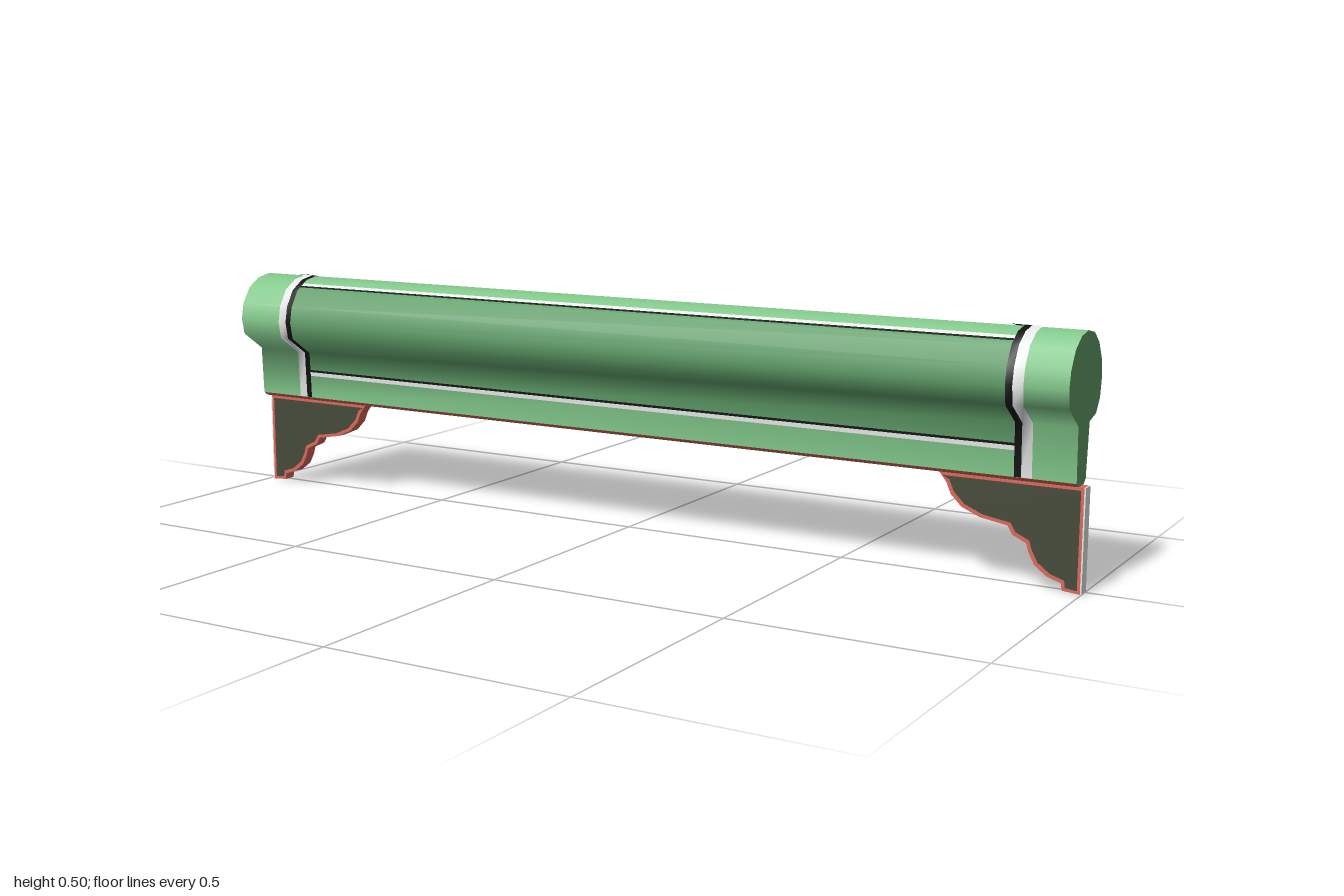
import * as THREE from 'three';
import { toCreasedNormals } from 'three/addons/utils/BufferGeometryUtils.js';

const mat = (name, color, side = THREE.FrontSide) => {
  const m = new THREE.MeshStandardMaterial({ color, side });
  m.name = name;
  return m;
};
const light = mat('lightGreen', 0x82c88b);
const green = mat('midGreen', 0x5f9d68);
const white = mat('offWhite', 0xe8ebe9, THREE.DoubleSide);
const black = mat('black', 0x121212, THREE.DoubleSide);
const red = mat('coralRed', 0xd8685a);
const olive = mat('darkOlive', 0x444a39);

// Cross-section as [z, y], each half from the bottom to the crown
const front = [[0.02, 0.204], [0.031, 0.212], [0.035, 0.32], [0.092, 0.36], [0.099, 0.396],
  [0.092, 0.432], [0.07, 0.467], [0.037, 0.488], [0, 0.495]];
const back = [[-0.012, 0.204], [-0.023, 0.213], [-0.032, 0.32], [-0.07, 0.33], [-0.09, 0.357],
  [-0.097, 0.396], [-0.09, 0.432], [-0.07, 0.465], [-0.04, 0.487], [0, 0.495]];

// Surface swept along x through a run of [z, y] points
function sweep(points, x0, x1) {
  const v = [];
  for (let i = 0; i + 1 < points.length; i++) {
    const [za, ya] = points[i], [zb, yb] = points[i + 1];
    v.push(x0, ya, za, x1, ya, za, x1, yb, zb, x0, ya, za, x1, yb, zb, x0, yb, zb);
  }
  const g = new THREE.BufferGeometry();
  g.setAttribute('position', new THREE.Float32BufferAttribute(v, 3));
  return toCreasedNormals(g, 1.2);
}

// Part of one half profile between two heights, lifted just off the surface
function cut(half, y0, y1, lift) {
  const out = [];
  const at = (a, b, y) => [a[0] + (b[0] - a[0]) * (y - a[1]) / (b[1] - a[1]), y];
  for (let i = 0; i + 1 < half.length; i++) {
    const a = half[i], b = half[i + 1];
    if (b[1] <= y0 || a[1] >= y1) continue;
    if (!out.length) out.push(at(a, b, Math.max(y0, a[1])));
    out.push(at(a, b, Math.min(y1, b[1])));
  }
  const s = half === front ? 1 : -1;
  const lifted = out.map(([z, y]) => {
    const up = y > 0.44 ? 1 : y > 0.31 && y < 0.365 ? -1 : 0;
    return [z + s * lift, y + up * lift];
  });
  return s > 0 ? lifted : lifted.reverse();
}

export function createModel() {
  const model = new THREE.Group();
  model.name = 'bracketedBeam';
  const add = (name, geometry, material) => {
    const m = new THREE.Mesh(geometry, material);
    m.name = name;
    model.add(m);
    return m;
  };

  // Beam skin, red underside with its chamfers, and end caps
  const X0 = -1, X1 = 0.985;
  const skin = [...front, ...back.slice(0, -1).reverse()];
  add('beam', sweep(skin.slice(1, -1), X0, X1), light);
  add('underside', sweep([back[1], back[0], front[0], front[1]], X0, X1), red);
  for (const s of [-1, 1]) {
    const shape = new THREE.Shape(skin.map(([z, y]) => new THREE.Vector2(-s * z, y)));
    const cap = add(s > 0 ? 'leftCap' : 'rightCap', new THREE.ShapeGeometry(shape), green);
    cap.rotation.y = s * Math.PI / 2;
    cap.position.x = s > 0 ? X1 : X0;
  }

  // Painted panel, bands and lines; the rear set sits slightly towards -x
  for (const [half, label, dx, low, high] of [
    [front, 'front', 0, 0.264, 0.476], [back, 'rear', -0.028, 0.238, 0.472]]) {
    const paint = (name, x0, x1, y0, y1, m, lift = 0.002) =>
      add(label + name, sweep(cut(half, y0, y1, lift), x0 + dx, x1 + dx), m);
    paint('Panel', -0.864, 0.879, low, high, green, 0.001);
    paint('RightBand', -0.885, -0.864, 0.213, 0.495, white);
    paint('RightBandShade', -0.864, -0.85, 0.213, 0.495, black);
    paint('LeftBandShade', 0.865, 0.879, 0.213, 0.495, black);
    paint('LeftBand', 0.879, 0.9, 0.213, 0.495, white);
    paint('LowerLine', -0.85, 0.865, low, low + 0.009, white);
    paint('LowerLineShade', -0.85, 0.865, low + 0.009, low + 0.014, black);
    paint('UpperLine', -0.85, 0.865, high, high + 0.005, white);
    paint('UpperLineShade', -0.85, 0.865, high - 0.003, high, black);
  }

  // Scrolled brackets: [distance in from the outer end, y]
  const outline = [[0, 0.204], [0, 0], [0.035, 0.003], [0.037, 0.017], [0.065, 0.026], [0.09, 0.045],
    [0.102, 0.068], [0.107, 0.085], [0.135, 0.098], [0.145, 0.115], [0.2, 0.124], [0.238, 0.14],
    [0.26, 0.162], [0.27, 0.185], [0.285, 0.204]];
  const inset = outline.map(([u, y]) => [Math.max(0.006, u - 0.006), Math.min(0.198, y + 0.006)]);
  for (const s of [-1, 1]) {
    const outer = s > 0 ? 0.997 : -0.985;
    const name = s > 0 ? 'leftBracket' : 'rightBracket';
    const place = (pts) => pts.map(([u, y]) => new THREE.Vector2(outer - s * u, y));
    const body = add(name, new THREE.ExtrudeGeometry(new THREE.Shape(place(outline)),
      { depth: 0.025, bevelEnabled: false }), [olive, red]);
    body.position.z = -0.005;

    // Thin red border around both faces
    const border = new THREE.Shape(place(outline));
    border.holes.push(new THREE.Path(place(inset)));
    const trim = add(name + 'Trim', new THREE.ExtrudeGeometry(border,
      { depth: 0.027, bevelEnabled: false }), red);
    trim.position.z = -0.006;

    // Pale outer end plate
    const plate = add(name + 'End', new THREE.BoxGeometry(0.003, 0.204, 0.027), white);
    plate.position.set(outer + s * 0.0015, 0.102, 0.0075);
  }
  return model;
}
